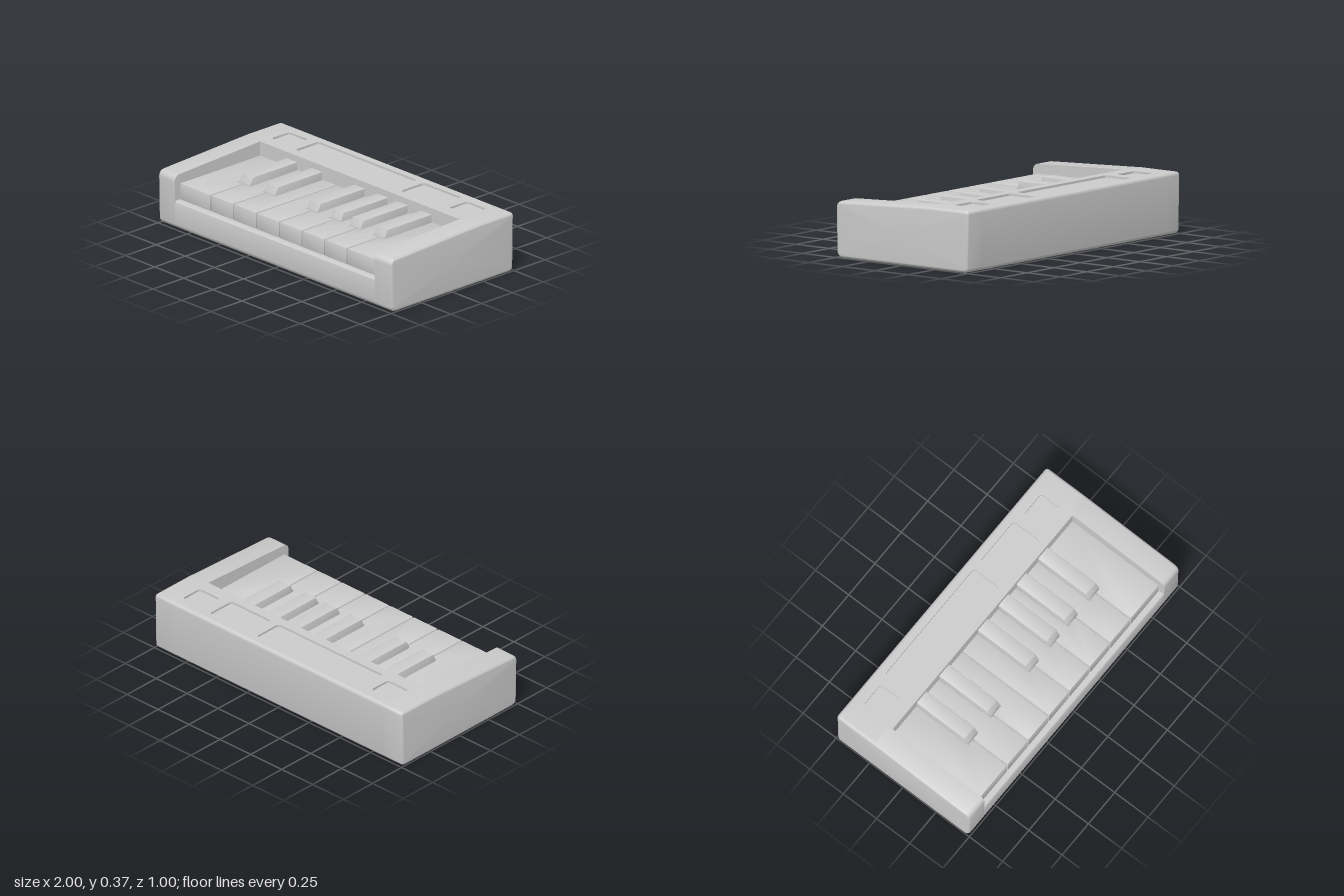
import * as THREE from 'three';
import { toCreasedNormals } from 'three/addons/utils/BufferGeometryUtils.js';

const INNER = 0.855; // half width of the key bed
const BACK = -0.19; // z of the wall behind the keys
const DECK = 0.37; // top of the control deck
const FLOOR = 0.18; // floor of the key bed
const rad = THREE.MathUtils.degToRad;
const material = new THREE.MeshStandardMaterial({ color: 0xcccccc });

function part(name, geometry, parent) {
  const mesh = new THREE.Mesh(toCreasedNormals(geometry, 0.55), material);
  mesh.name = name;
  parent.add(mesh);
  return mesh;
}

// Outline in (z, y) pulled along x, from -halfWidth to +halfWidth
function extrudeAcross(shape, halfWidth, bevel = 0) {
  const g = new THREE.ExtrudeGeometry(shape, {
    depth: 2 * (halfWidth - bevel), curveSegments: 8, bevelEnabled: bevel > 0,
    bevelSize: bevel, bevelThickness: bevel, bevelOffset: -bevel, bevelSegments: 2,
  });
  return g.rotateY(-Math.PI / 2).translate(halfWidth - bevel, 0, 0);
}

// Plan outline in (x, -z) raised from y0 to y1
function extrudeUp(shape, y0, y1, bevel = 0) {
  const g = new THREE.ExtrudeGeometry(shape, {
    depth: y1 - y0 - 2 * bevel, curveSegments: 6, bevelEnabled: bevel > 0,
    bevelSize: bevel, bevelThickness: bevel, bevelOffset: -bevel, bevelSegments: 2,
  });
  return g.rotateX(-Math.PI / 2).translate(0, y0 + bevel, 0);
}

// Side profile as rounded corners: centre z, centre y, radius, start and end angle
const CORNERS = [
  [0.455, 0.04, 0.04, -90, -1],
  [0.46, 0.3, 0.04, -1, 87.5],
  [-0.22, 0.33, 0.04, 87.5, 90],
  [-0.48, 0.35, 0.02, 90, 180],
  [-0.465, 0.03, 0.03, 180, 270],
];
function sideProfile(inset) {
  const points = [];
  for (const [z, y, r, a0, a1] of CORNERS) {
    for (let i = 0; i <= 8; i++) {
      const a = rad(a0 + ((a1 - a0) * i) / 8);
      points.push([z + (r - inset) * Math.cos(a), y + (r - inset) * Math.sin(a)]);
    }
  }
  return points;
}

// Cheek block: side profile lofted outwards, rounded on its outer end
function cheekGeometry(side) {
  const r = 0.019;
  const rings = [{ x: INNER, p: sideProfile(0) }];
  for (let i = 0; i <= 6; i++) {
    const a = rad(i * 15);
    rings.push({ x: 1 - r + r * Math.sin(a), p: sideProfile(r * (1 - Math.cos(a))) });
  }
  const n = rings[0].p.length;
  const position = [];
  const index = [];
  const tri = (a, b, c) => (side > 0 ? index.push(a, b, c) : index.push(a, c, b));
  for (const { x, p } of rings) for (const [z, y] of p) position.push(side * x, y, z);
  const last = rings.length - 1;
  const c0 = rings.length * n;
  position.push(side * INNER, 0.18, 0, side, 0.18, 0);
  for (let j = 0; j < n; j++) {
    const k = (j + 1) % n;
    for (let i = 0; i < last; i++) {
      const [a, b, c, d] = [i * n + j, i * n + k, (i + 1) * n + k, (i + 1) * n + j];
      tri(a, c, b);
      tri(a, d, c);
    }
    tri(c0, j, k);
    tri(c0 + 1, last * n + k, last * n + j);
  }
  const g = new THREE.BufferGeometry();
  g.setAttribute('position', new THREE.Float32BufferAttribute(position, 3));
  g.setIndex(index);
  return g;
}

function roundedRect(path, x0, x1, z0, z1, r) {
  const [y0, y1] = [-z1, -z0];
  path.moveTo(x0 + r, y0);
  path.lineTo(x1 - r, y0).absarc(x1 - r, y0 + r, r, -Math.PI / 2, 0);
  path.lineTo(x1, y1 - r).absarc(x1 - r, y1 - r, r, 0, Math.PI / 2);
  path.lineTo(x0 + r, y1).absarc(x0 + r, y1 - r, r, Math.PI / 2, Math.PI);
  path.lineTo(x0, y0 + r).absarc(x0 + r, y0 + r, r, Math.PI, Math.PI * 1.5);
  return path;
}

function polygon(points) {
  return new THREE.Shape(points.map(([x, y]) => new THREE.Vector2(x, y)));
}

export function createModel() {
  const model = new THREE.Group();
  model.name = 'miniKeyboard';

  // Casing: cheeks at both ends, L-shaped middle between them
  const casing = new THREE.Group();
  casing.name = 'casing';
  model.add(casing);
  part('leftCheek', cheekGeometry(1), casing);
  part('rightCheek', cheekGeometry(-1), casing);

  const pocketFloor = DECK - 0.014;
  const middle = new THREE.Shape();
  middle.moveTo(-0.465, 0);
  middle.lineTo(0.455, 0).absarc(0.455, 0.04, 0.04, -Math.PI / 2, 0);
  middle.lineTo(0.497, FLOOR - 0.015).absarc(0.482, FLOOR - 0.015, 0.015, 0, Math.PI / 2);
  middle.lineTo(BACK, FLOOR).lineTo(BACK, pocketFloor).lineTo(-0.48, pocketFloor);
  middle.lineTo(-0.48, DECK).absarc(-0.48, DECK - 0.02, 0.02, Math.PI / 2, Math.PI);
  middle.lineTo(-0.495, 0.03).absarc(-0.465, 0.03, 0.03, Math.PI, Math.PI * 1.5);
  part('casingMiddle', extrudeAcross(middle, INNER), casing);

  // Deck plate with shallow pockets: two squares, long display, short display
  const plate = polygon([[-INNER, -BACK], [INNER, -BACK], [INNER, 0.48], [-INNER, 0.48]]);
  const pockets = [
    [-0.845, -0.68, -0.42, -0.275],
    [-0.615, 0.23, -0.44, -0.25],
    [0.29, 0.61, -0.44, -0.25],
    [0.68, 0.845, -0.42, -0.275],
  ];
  for (const p of pockets) plate.holes.push(roundedRect(new THREE.Path(), ...p, 0.02));
  part('deckPlate', extrudeUp(plate, pocketFloor, DECK), casing);

  // White keys, notched at the rear where a black key stands
  const keys = new THREE.Group();
  keys.name = 'keys';
  model.add(keys);
  const edges = [-0.855, -0.588, -0.392, -0.195, 0, 0.195, 0.388, 0.582, 0.855];
  const blacks = [-0.581, -0.366, 0, 0.198, 0.368, 0.573];
  const half = 0.047;
  const gap = 0.005;
  const front = 0.46;
  const notch = 0.2;
  const blackAt = (x) => blacks.find((b) => Math.abs(b - x) < half);
  for (let i = 0; i < edges.length - 1; i++) {
    const x0 = edges[i] + gap;
    const x1 = edges[i + 1] - gap;
    const left = blackAt(edges[i]);
    const right = blackAt(edges[i + 1]);
    const outline = [[x0, -front], [x1, -front]];
    if (right === undefined) outline.push([x1, -BACK]);
    else {
      const x = right - half - gap;
      outline.push([x1, -notch], [x, -notch], [x, -BACK]);
    }
    if (left === undefined) outline.push([x0, -BACK]);
    else {
      const x = left + half + gap;
      outline.push([x, -BACK], [x, -notch], [x0, -notch]);
    }
    part('whiteKey' + (i + 1), extrudeUp(polygon(outline), FLOOR, 0.283, 0.003), keys);
  }

  // Black keys with a sloping front
  const blackSide = polygon([[BACK, FLOOR], [0.192, FLOOR], [0.192, 0.285], [0.17, 0.33], [BACK, 0.33]]);
  blacks.forEach((x, i) => {
    part('blackKey' + (i + 1), extrudeAcross(blackSide, half, 0.004), keys).position.x = x;
  });

  return model;
}
